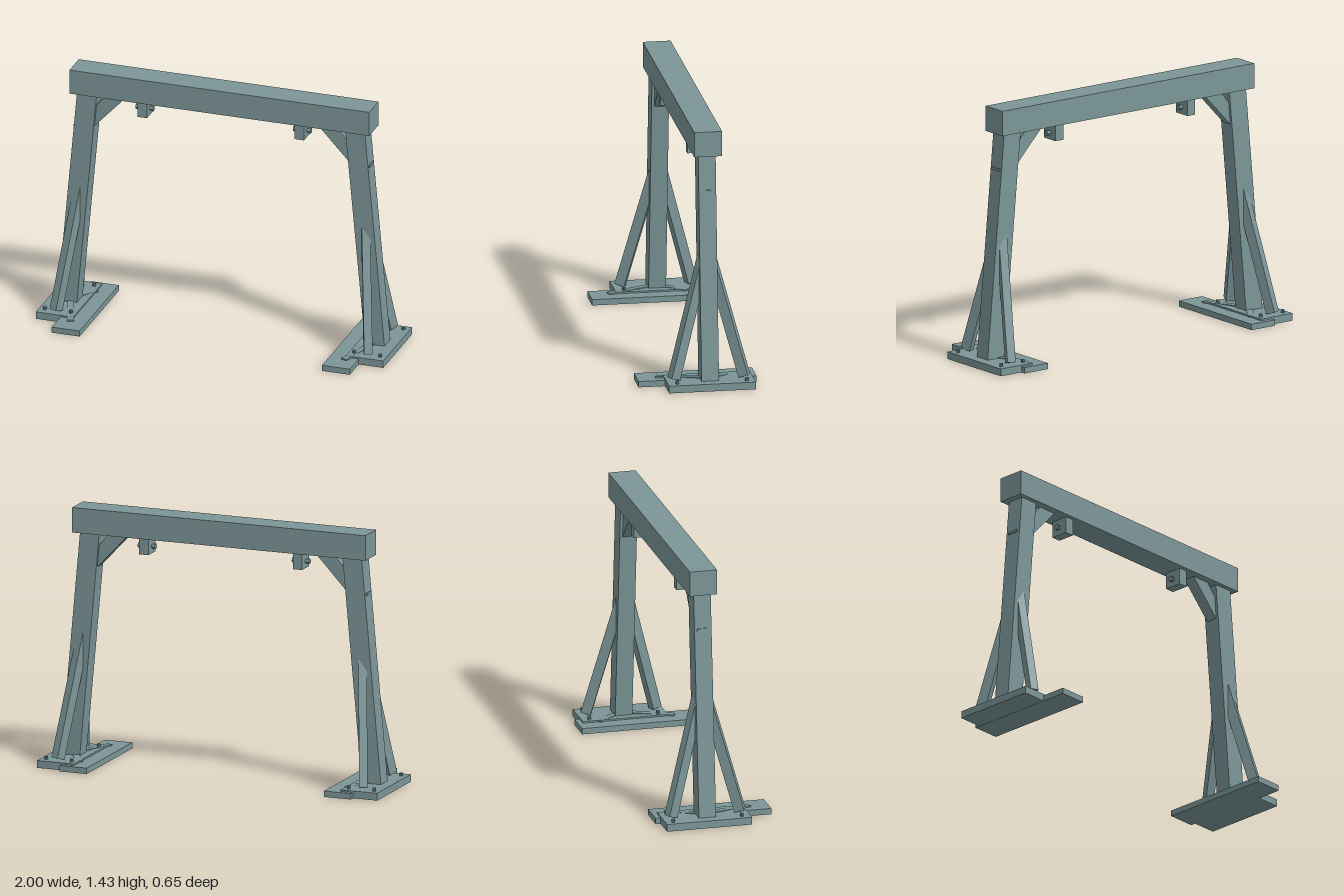
import * as THREE from 'three';

const ZC = -0.056; // centre line of the frame in z

export function createModel() {
  const model = new THREE.Group();
  const material = new THREE.MeshStandardMaterial({ color: 0x7c9698, flatShading: true });

  const add = (parent, name, geometry, x = 0, y = 0, z = 0) => {
    const mesh = new THREE.Mesh(geometry, material);
    mesh.name = name;
    mesh.position.set(x, y, z);
    parent.add(mesh);
    return mesh;
  };

  // Box given by its limits on each axis, mirrored in x by side
  const block = (parent, name, side, [x0, x1], [y0, y1], [z0, z1]) =>
    add(parent, name, new THREE.BoxGeometry(x1 - x0, y1 - y0, z1 - z0),
      side * (x0 + x1) / 2, (y0 + y1) / 2, (z0 + z1) / 2);

  // Outline in x/y extruded to a depth centred on the frame line
  const slab = (parent, name, side, points, depth) => {
    const shape = new THREE.Shape(points.map(([x, y]) => new THREE.Vector2(side * x, y)));
    const geometry = new THREE.ExtrudeGeometry(shape, { depth, bevelEnabled: false });
    return add(parent, name, geometry, 0, 0, ZC - depth / 2);
  };

  // Square bar running between two points
  const bar = (parent, name, a, b, width, height) => {
    const from = new THREE.Vector3(...a), to = new THREE.Vector3(...b);
    const mid = from.clone().add(to).multiplyScalar(0.5);
    const mesh = add(parent, name, new THREE.BoxGeometry(width, height, from.distanceTo(to)), ...mid.toArray());
    mesh.lookAt(to);
    return mesh;
  };

  // Top beam
  block(model, 'topBeam', 1, [-0.863, 0.863], [1.293, 1.433], [-0.134, 0.019]);

  for (const side of [1, -1]) {
    const support = new THREE.Group();
    support.name = side > 0 ? 'leftSupport' : 'rightSupport';
    model.add(support);

    // Leaning leg, with a small strap on its outer face
    slab(support, 'leg', side, [[0.83, 0.04], [0.942, 0.04], [0.828, 1.3], [0.715, 1.3]], 0.096);
    const strap = add(support, 'legStrap', new THREE.BoxGeometry(0.012, 0.014, 0.066), side * 0.847, 1.091, ZC);
    strap.rotation.z = side * 0.09;

    // Diagonal brace below the beam
    slab(support, 'cornerBrace', side,
      [[0.552, 1.295], [0.735, 1.1], [0.745, 1.1], [0.74, 1.22], [0.718, 1.232], [0.665, 1.295]], 0.066);

    // Hanging bracket and its cross bolt
    block(support, 'hangingBracket', side, [0.425, 0.479], [1.2, 1.295], [-0.107, -0.006]);
    const pin = add(support, 'bracketPin', new THREE.CylinderGeometry(0.011, 0.011, 0.1, 12), side * 0.453, 1.24, ZC);
    pin.rotation.z = Math.PI / 2;
    for (const x of [0.41, 0.497]) {
      const head = add(support, 'pinHead', new THREE.CylinderGeometry(0.016, 0.016, 0.014, 6), side * x, 1.24, ZC);
      head.rotation.z = Math.PI / 2;
    }

    // Base plates: long inner plate and shorter outer plate
    block(support, 'innerBasePlate', side, [0.698, 0.858], [0, 0.033], [-0.325, 0.325]);
    block(support, 'outerBasePlate', side, [0.785, 1], [0.001, 0.042], [-0.298, 0.18]);

    // Bolts at the corners of the outer plate
    for (const x of [0.815, 0.965]) {
      for (const z of [-0.254, 0.13]) {
        add(support, 'baseBolt', new THREE.CylinderGeometry(0.01, 0.01, 0.022, 10), side * x, 0.048, z);
      }
    }

    for (const dir of [1, -1]) {
      // Raking strut from the plate up into the leg
      bar(support, dir > 0 ? 'frontStrut' : 'rearStrut',
        [side * 0.898, 0.052, ZC + dir * 0.194], [side * 0.822, 0.72, ZC + dir * 0.016], 0.046, 0.056);
      // Low strip lying on the plates
      const reach = dir > 0 ? 0.275 : 0.155;
      bar(support, 'baseStrip',
        [side * 0.787, 0.03, ZC + dir * reach], [side * 0.88, 0.04, ZC], 0.036, 0.02);
    }
  }
  return model;
}
